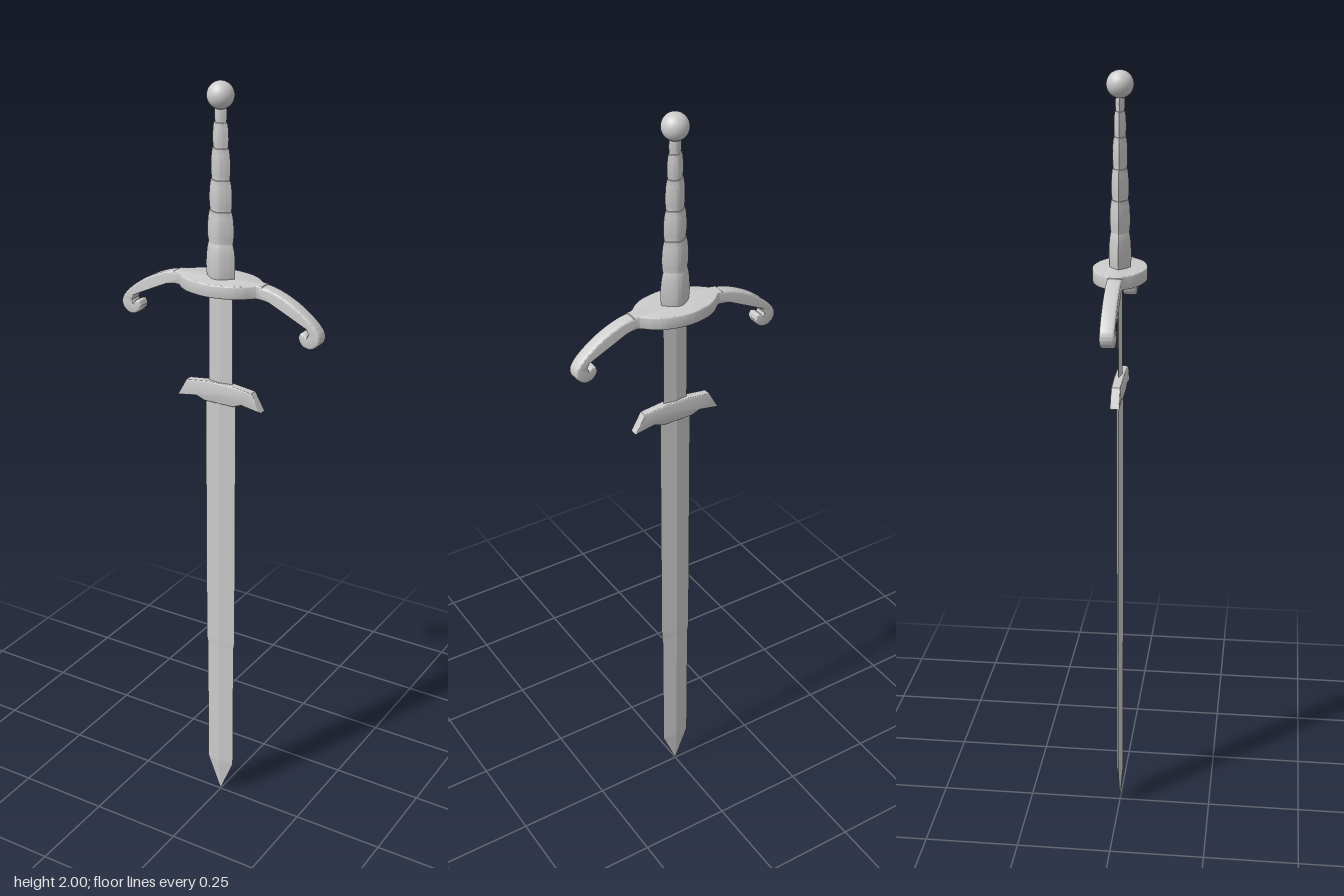
import * as THREE from 'three';
import { toCreasedNormals } from 'three/addons/utils/BufferGeometryUtils.js';

const V = (x, y) => new THREE.Vector2(x, y);
const grey = new THREE.MeshStandardMaterial({ color: 0xcccccc });
const faceted = new THREE.MeshStandardMaterial({ color: 0xcccccc, flatShading: true });

function add(group, name, geometry, material = grey) {
  const mesh = new THREE.Mesh(geometry, material);
  mesh.name = name;
  group.add(mesh);
  return mesh;
}

// Extrudes an outline to a total depth centred on z = 0, with softened edges
function slab(shape, depth, bevel) {
  const g = new THREE.ExtrudeGeometry(shape, {
    depth: depth - 2 * bevel, bevelThickness: bevel, bevelSize: bevel,
    bevelOffset: -bevel, bevelSegments: 3, curveSegments: 24,
  });
  g.translate(0, 0, bevel - depth / 2);
  return toCreasedNormals(g, 0.7);
}

// Four-sided flattened diamond section from [halfWidth, y] pairs
function diamond(profile, flatness) {
  const g = new THREE.LatheGeometry(profile.map(([r, y]) => V(r, y)), 4);
  return g.scale(1, 1, flatness);
}

// Grip: stacked swellings that shrink upward, with a lens-shaped section
function gripGeometry() {
  const rings = [1.525, 1.615, 1.695, 1.77, 1.845, 1.905, 1.95];
  const widths = [0.041, 0.037, 0.032, 0.027, 0.022, 0.017];
  const profile = [];
  widths.forEach((w, i) => {
    for (let k = 0; k <= 6; k++) {
      const t = k / 6;
      const r = w * (0.88 + 0.12 * Math.sin(Math.PI * t) ** 0.6) * (1.04 - 0.08 * t);
      profile.push(V(r, THREE.MathUtils.lerp(rings[i], rings[i + 1], t * 0.99)));
    }
  });
  const g = new THREE.LatheGeometry(profile, 32, Math.PI / 2);
  const p = g.attributes.position;
  for (let i = 0; i < p.count; i++) {
    const x = p.getX(i), z = p.getZ(i), r = Math.hypot(x, z);
    p.setZ(i, Math.sign(z) * 0.68 * r * (1 - Math.abs(x / r) ** 1.6));
  }
  return toCreasedNormals(g, 0.6);
}

// Curved guard arm ending in a small curl
function armGeometry() {
  const s = new THREE.Shape();
  s.moveTo(0.08, 1.53);
  s.splineThru([V(0.14, 1.526), V(0.2, 1.503), V(0.25, 1.47), V(0.279, 1.439), V(0.281, 1.414),
    V(0.262, 1.397), V(0.239, 1.4), V(0.226, 1.418), V(0.231, 1.433), V(0.242, 1.432)]);
  s.lineTo(0.248, 1.425);
  s.lineTo(0.252, 1.434);
  s.splineThru([V(0.243, 1.447), V(0.22, 1.464), V(0.18, 1.483), V(0.13, 1.495), V(0.08, 1.497)]);
  s.closePath();
  return slab(s, 0.036, 0.005);
}

// Guard plate: oval that narrows into the arms
function plateGeometry() {
  const side = [[0.125, 0.017], [0.109, 0.021], [0.084, 0.043], [0.052, 0.059], [0, 0.068]];
  const half = [...side, ...side.slice(0, -1).reverse().map(([x, z]) => [-x, z])];
  const s = new THREE.Shape();
  s.moveTo(...half[0]);
  s.splineThru(half.slice(1).map(([x, z]) => V(x, z)));
  s.lineTo(-0.125, -0.017);
  s.splineThru(half.slice(0, -1).reverse().map(([x, z]) => V(x, -z)));
  s.closePath();
  return slab(s, 0.033, 0.003).rotateX(-Math.PI / 2).translate(0, 1.514, 0);
}

// Pointed lugs where the blade widens
function lugGeometry() {
  const right = [[0.03, 1.255], [0.095, 1.247], [0.122, 1.2], [0.066, 1.209], [0.042, 1.2]];
  const outline = [...right, ...right.map(([x, y]) => [-x, y]).reverse()];
  return slab(new THREE.Shape(outline.map(([x, y]) => V(x, y))), 0.024, 0.003);
}

export function createModel() {
  const sword = new THREE.Group();
  sword.name = 'sword';

  // Hilt
  add(sword, 'pommel', new THREE.SphereGeometry(0.033, 32, 20).translate(0, 1.967, 0));
  add(sword, 'grip', gripGeometry());

  // Guard
  const guard = new THREE.Group();
  guard.name = 'guard';
  add(guard, 'guardPlate', plateGeometry());
  add(guard, 'leftGuardArm', armGeometry());
  add(guard, 'rightGuardArm', armGeometry()).rotation.y = Math.PI;
  sword.add(guard);

  // Blade
  add(sword, 'bladeNeck', diamond([[0, 1.19], [0.034, 1.19], [0.034, 1.51], [0, 1.51]], 0.17), faceted);
  add(sword, 'bladeLugs', lugGeometry());
  add(sword, 'blade', diamond([[0, 0], [0.04, 0.1], [0.041, 0.48], [0.044, 0.5], [0.044, 1.21], [0, 1.21]], 0.2), faceted);
  return sword;
}
